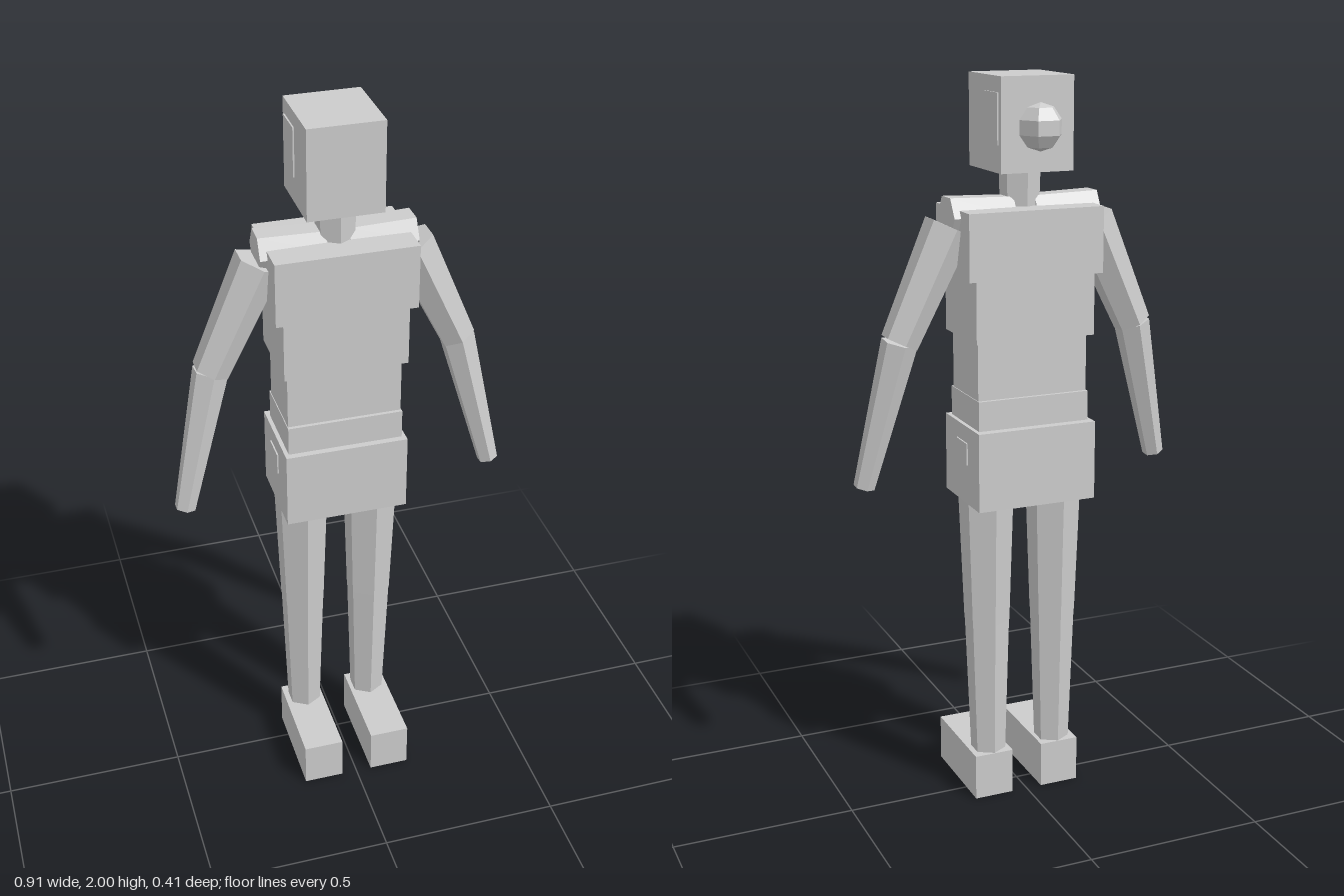
import * as THREE from 'three';

export function createModel() {
  const model = new THREE.Group();
  const grey = new THREE.MeshStandardMaterial({ color: 0xcccccc });
  grey.name = 'light grey';
  grey.flatShading = true;

  function add(name, geometry) {
    const mesh = new THREE.Mesh(geometry, grey);
    mesh.name = name;
    model.add(mesh);
    return mesh;
  }

  // Block given by its x, y and z ranges
  function block(name, x0, x1, y0, y1, z0, z1) {
    add(name, new THREE.BoxGeometry(x1 - x0, y1 - y0, z1 - z0))
      .position.set((x0 + x1) / 2, (y0 + y1) / 2, (z0 + z1) / 2);
  }

  // Tapered six-sided limb from point a to point b
  function limb(name, a, b, ra, rb) {
    const from = new THREE.Vector3(...a), to = new THREE.Vector3(...b);
    const axis = from.clone().sub(to);
    const mesh = add(name, new THREE.CylinderGeometry(ra, rb, axis.length(), 6));
    mesh.position.copy(from).add(to).multiplyScalar(0.5);
    mesh.quaternion.setFromUnitVectors(new THREE.Vector3(0, 1, 0), axis.normalize());
  }

  // Head, hair bun and neck
  block('head', -0.1, 0.1, 1.76, 2, -0.135, 0.08);
  add('hairBun', new THREE.SphereGeometry(0.061, 6, 5)).position.set(0, 1.875, -0.153);
  limb('neck', [0, 1.8, -0.02], [0, 1.6, -0.02], 0.056, 0.05);

  // Torso, from chest down to hips
  block('chest', -0.188, 0.188, 1.49, 1.665, -0.137, 0.098);
  block('ribs', -0.167, 0.167, 1.325, 1.49, -0.13, 0.09);
  block('upperWaist', -0.155, 0.155, 1.17, 1.325, -0.108, 0.07);
  block('lowerWaist', -0.157, 0.157, 1.09, 1.17, -0.118, 0.08);
  block('hips', -0.168, 0.168, 0.875, 1.09, -0.143, 0.098);

  // Mirrored parts
  for (const [side, s] of [['left', 1], ['right', -1]]) {
    const name = part => side + part;
    const plate = (part, x, ...range) =>
      block(name(part), Math.min(x * s, (x - 0.008) * s), Math.max(x * s, (x - 0.008) * s), ...range);
    plate('HairSide', 0.104, 1.83, 1.96, -0.12, -0.03);
    plate('HipJoint', 0.172, 0.985, 1.045, -0.063, 0.01);

    limb(name('Shoulder'), [0.03 * s, 1.645, -0.024], [0.207 * s, 1.645, -0.026], 0.052, 0.058);
    limb(name('UpperArm'), [0.2 * s, 1.62, -0.022], [0.337 * s, 1.325, -0.016], 0.065, 0.051);
    limb(name('Forearm'), [0.337 * s, 1.325, -0.016], [0.432 * s, 0.932, 0.021], 0.049, 0.029);

    limb(name('Thigh'), [0.1 * s, 0.92, -0.021], [0.099 * s, 0.52, -0.022], 0.077, 0.063);
    limb(name('Shin'), [0.099 * s, 0.52, -0.022], [0.098 * s, 0.1, -0.024], 0.062, 0.048);
    block(name('Foot'), 0.1 * s - 0.056, 0.1 * s + 0.056, 0, 0.13, -0.075, 0.205);
  }
  return model;
}
